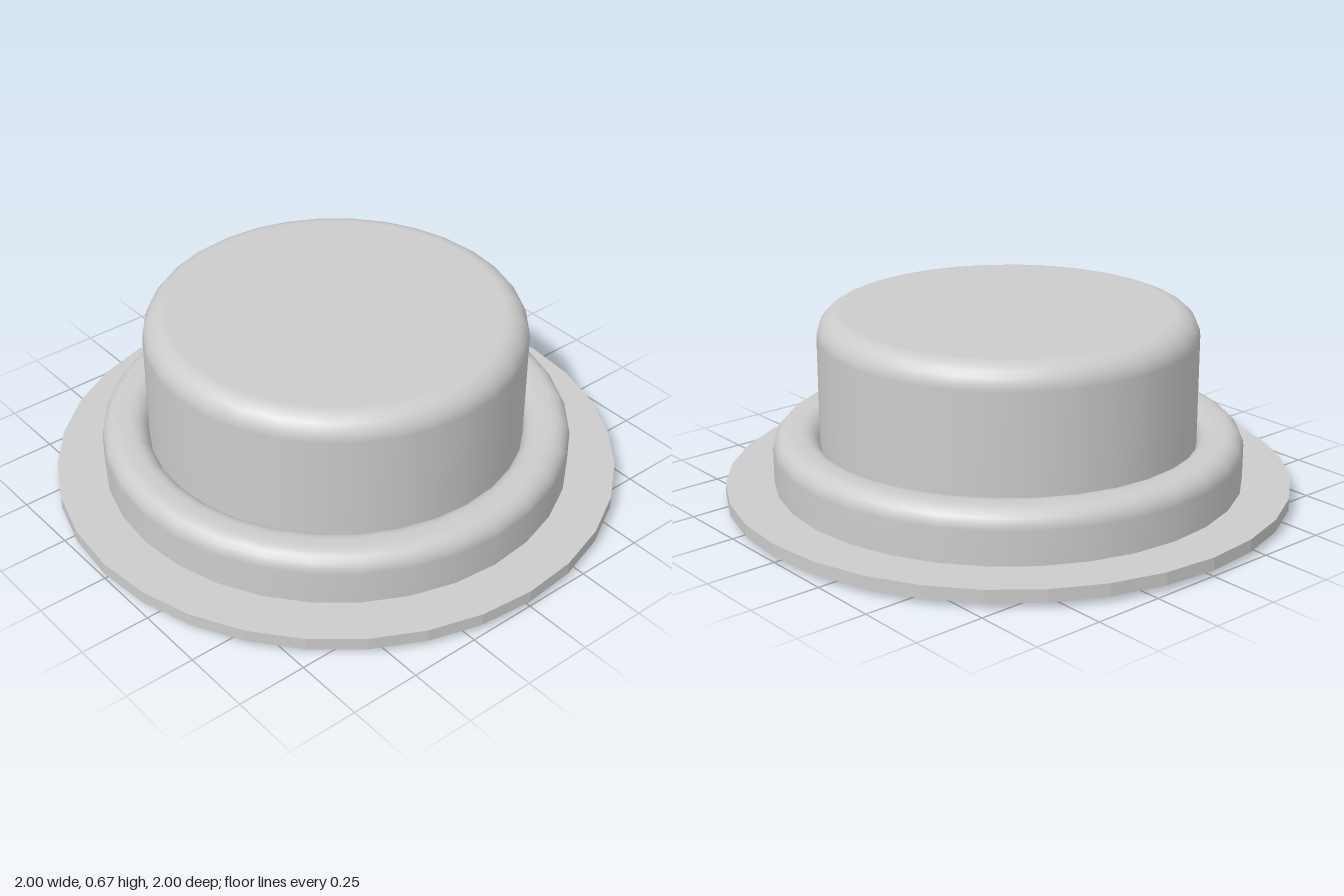
import * as THREE from 'three';

const SIDES = 32;

// Points of a quarter-round corner, from angle a0 to a1 (degrees)
function arc(cx, cy, rx, ry, a0, a1, steps = 5) {
  return Array.from({ length: steps + 1 }, (_, i) => {
    const a = THREE.MathUtils.degToRad(a0 + ((a1 - a0) * i) / steps);
    return new THREE.Vector2(cx + rx * Math.cos(a), cy + ry * Math.sin(a));
  });
}

export function createModel() {
  const group = new THREE.Group();
  const smooth = new THREE.MeshStandardMaterial({ color: 0xcccccc });
  const flat = new THREE.MeshStandardMaterial({ color: 0xcccccc, flatShading: true });

  const add = (name, geometry, material = smooth) => {
    const mesh = new THREE.Mesh(geometry, material);
    mesh.name = name;
    group.add(mesh);
    return mesh;
  };

  // Thin flange plate
  add('flange', new THREE.CylinderGeometry(1, 1, 0.045, SIDES), flat).position.y = 0.0425;

  // Base collar: straight wall, rounded crest, dipping into a groove round the body
  add('baseCollar', new THREE.LatheGeometry([
    new THREE.Vector2(0.83, 0),
    ...arc(0.765, 0.185, 0.065, 0.065, 0, 90),
    ...arc(0.73, 0.185, 0.065, 0.065, 90, 180),
  ], SIDES));

  // Underside of the base
  const underside = add('underside', new THREE.CircleGeometry(0.83, SIDES));
  underside.rotation.x = Math.PI / 2;

  // Drum body with a rounded top edge, closed at the centre
  add('drumBody', new THREE.LatheGeometry([
    new THREE.Vector2(0.665, 0.1),
    ...arc(0.58, 0.585, 0.085, 0.085, 0, 90, 6),
    new THREE.Vector2(0, 0.67),
  ], SIDES));

  return group;
}
